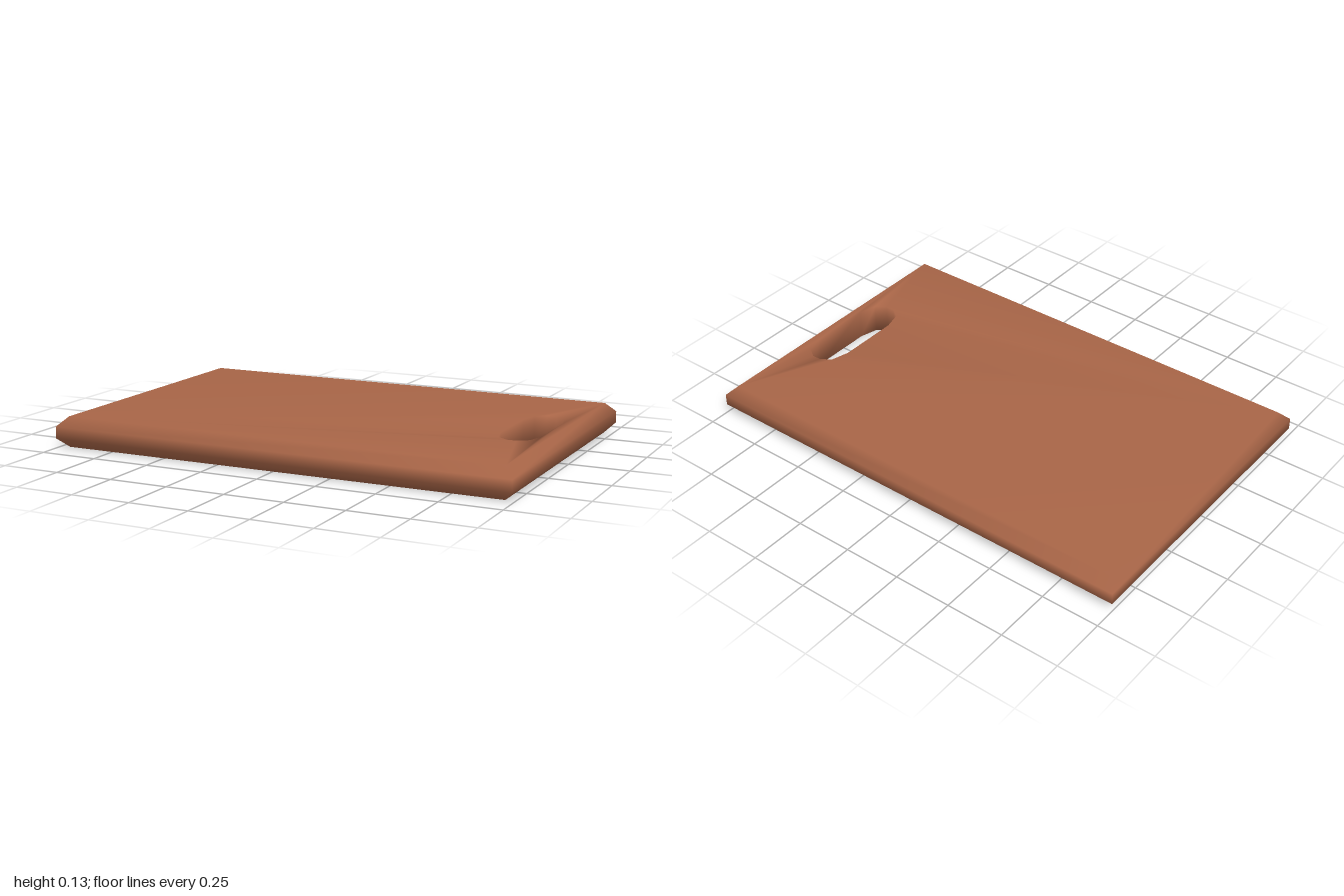
import * as THREE from 'three';
import { mergeGeometries, mergeVertices } from 'three/addons/utils/BufferGeometryUtils.js';

const HEIGHT = 0.13, BEVEL = 0.04, HALF_X = 1, HALF_Z = 0.66;

// Counter-clockwise board outline, pulled in by an inset
function outline(inset) {
  const x = HALF_X - inset, z = HALF_Z - inset;
  return [[-x, -z], [x, -z], [x, z], [-x, z]].map(([a, b]) => new THREE.Vector2(a, b));
}

// Clockwise twelve-sided grip slot, mirrored from one quarter
function slot() {
  const cx = 0.84, cy = 0.015;
  const quarter = [[0.02, 0.245], [0.064, 0.215], [0.085, 0.135]];
  const right = [...quarter, ...quarter.map(([x, y]) => [x, -y]).reverse()];
  const left = right.map(([x, y]) => [-x, -y]);
  return [...right, ...left].map(([x, y]) => new THREE.Vector2(cx + x, cy + y));
}

// Wall of quads between two loops at different heights
function wall(lower, y0, upper, y1) {
  const n = lower.length, pos = [], index = [];
  lower.forEach((p) => pos.push(p.x, y0, -p.y));
  upper.forEach((p) => pos.push(p.x, y1, -p.y));
  for (let i = 0; i < n; i++) {
    const j = (i + 1) % n;
    index.push(i, j, n + j, i, n + j, n + i);
  }
  const g = new THREE.BufferGeometry();
  g.setAttribute('position', new THREE.Float32BufferAttribute(pos, 3));
  g.setIndex(index);
  return g;
}

// Flat face with the slot cut out
function face(y, down) {
  const shape = new THREE.Shape(outline(BEVEL));
  shape.holes.push(new THREE.Path(slot()));
  const g = new THREE.ShapeGeometry(shape).rotateX(-Math.PI / 2).translate(0, y, 0);
  g.deleteAttribute('normal');
  g.deleteAttribute('uv');
  if (down) g.index.array.reverse();
  return g;
}

export function createModel() {
  const group = new THREE.Group();
  group.name = 'cuttingBoard';
  const wood = new THREE.MeshStandardMaterial({ color: 0xa86547 });
  wood.name = 'reddish wood';

  // Chamfered rim, both faces and slot wall share vertices for soft shading
  const inner = outline(BEVEL), outer = outline(0), hole = slot();
  const parts = [
    wall(inner, 0, outer, BEVEL),
    wall(outer, BEVEL, outer, HEIGHT - BEVEL),
    wall(outer, HEIGHT - BEVEL, inner, HEIGHT),
    wall(hole, 0, hole, HEIGHT),
    face(HEIGHT, false),
    face(0, true),
  ];
  const geometry = mergeVertices(mergeGeometries(parts), 1e-4);
  geometry.computeVertexNormals();

  const board = new THREE.Mesh(geometry, wood);
  board.name = 'board';
  group.add(board);
  return group;
}
